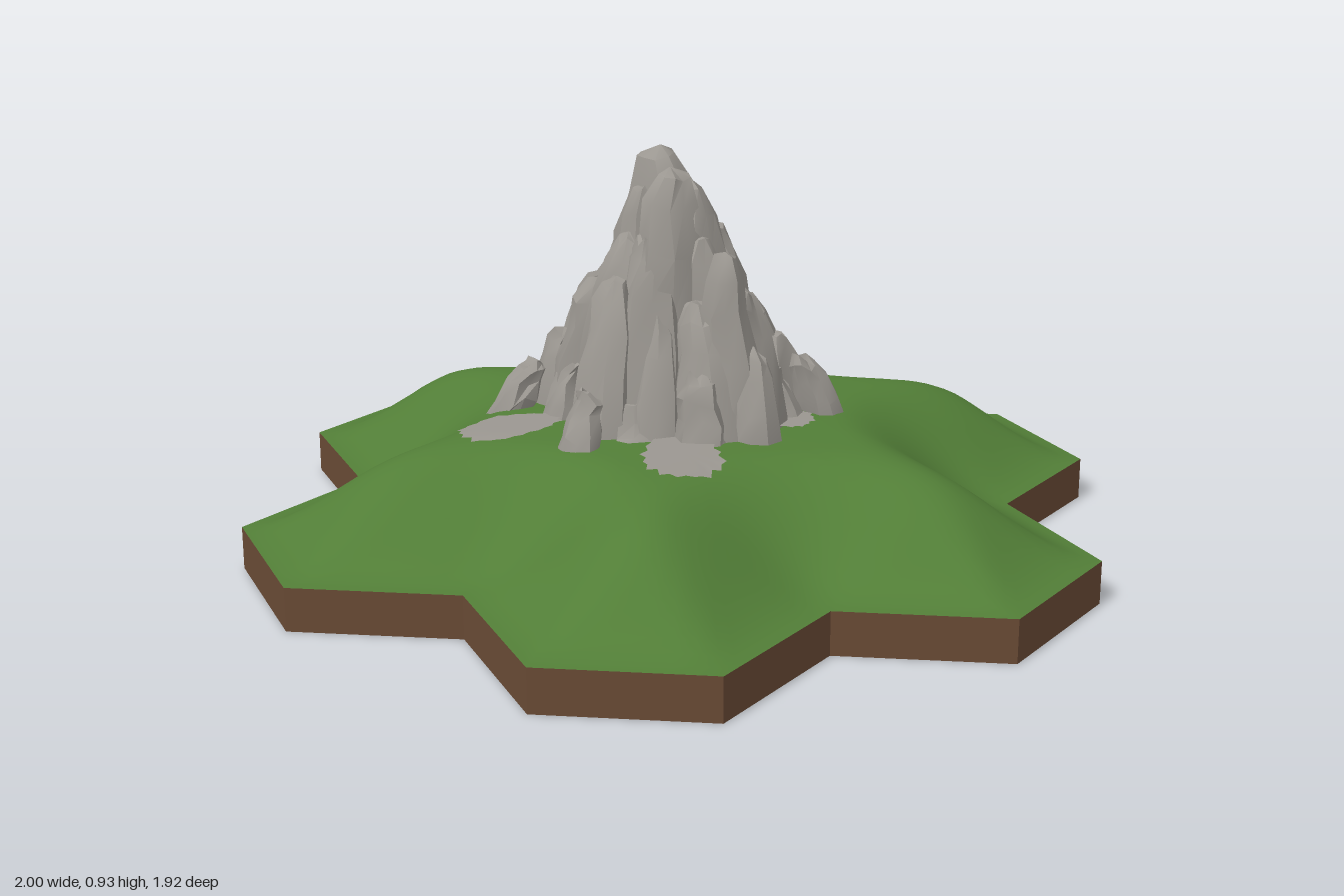
import * as THREE from 'three';
import { toCreasedNormals } from 'three/addons/utils/BufferGeometryUtils.js';

const grass = new THREE.MeshStandardMaterial({ color: 0x527e37, side: THREE.DoubleSide });
grass.name = 'grass green';
const earth = new THREE.MeshStandardMaterial({ color: 0x694a35, side: THREE.DoubleSide });
earth.name = 'earth brown';
const stone = new THREE.MeshStandardMaterial({ color: 0x9a9690, side: THREE.DoubleSide });
stone.name = 'stone grey';

// Seeded random numbers
let seed = 11;
const rand = () => {
  seed = (seed * 16807) % 2147483647;
  return seed / 2147483647;
};
const vary = (amount) => (rand() * 2 - 1) * amount;

// Skin over closed loops of [x, y, z] points, ordered from bottom/outside to top/inside
function loft(rows) {
  const n = rows[0].length;
  const index = [];
  for (let i = 0; i < rows.length - 1; i++) {
    for (let j = 0; j < n; j++) {
      const k = (j + 1) % n;
      const a = i * n + j, b = i * n + k, c = a + n, d = b + n;
      index.push(a, c, b, b, c, d);
    }
  }
  const geo = new THREE.BufferGeometry();
  geo.setAttribute('position', new THREE.Float32BufferAttribute(rows.flat(2), 3));
  geo.setIndex(index);
  geo.computeVertexNormals();
  return geo;
}

function addMesh(parent, name, geo, material) {
  const mesh = new THREE.Mesh(geo, material);
  mesh.name = name;
  parent.add(mesh);
  return mesh;
}

// Outline of six hexagons around a central one
const outline = [];
for (let k = 0; k < 6; k++) {
  const a = (k * Math.PI) / 3, c = Math.cos(a), s = Math.sin(a);
  for (const [x, z] of [[0.6667, -0.3849], [1, -0.1925], [1, 0.1925]]) {
    outline.push([x * c - z * s, x * s + z * c]);
  }
}

// Ground height: an S-curve of the softened distance to the outline
function groundHeight(x, z) {
  let sum = 0;
  outline.forEach(([ax, az], i) => {
    const [bx, bz] = outline[(i + 1) % outline.length];
    const ex = bx - ax, ez = bz - az;
    const t = THREE.MathUtils.clamp(((x - ax) * ex + (z - az) * ez) / (ex * ex + ez * ez), 0, 1);
    const d = Math.hypot(x - ax - ex * t, z - az - ez * t);
    sum += Math.pow(Math.max(d, 1e-4), -9);
  });
  const dist = Math.pow(sum, -1 / 9);
  return 0.1 + 0.205 * THREE.MathUtils.smoothstep(dist, 0, 0.37)
    + 0.02 * Math.exp(-(x * x + z * z) / 0.15) * Math.min(1, dist * 5);
}

// A leaning, tapering shard of rock with a grooved, blunt top
const shardProfile = [[0, 0], [0, 0.9], [0.25, 1.05], [0.5, 0.95], [0.72, 0.78], [0.88, 0.6], [0.97, 0.36], [1, 0]];
function shard(top, base, width) {
  const sides = 9;
  const groove = Array.from({ length: sides }, () => 1 + vary(0.2));
  const turn = rand() * 6;
  const rows = shardProfile.map(([t, r]) => {
    const cx = THREE.MathUtils.lerp(base[0], top[0], t) + vary(0.008);
    const cz = THREE.MathUtils.lerp(base[2], top[2], t) + vary(0.008);
    const cy = THREE.MathUtils.lerp(base[1], top[1], t);
    return groove.map((g, j) => {
      const a = turn + (j / sides) * Math.PI * 2;
      const radius = r * width * g * (1 + vary(0.12));
      const lift = r > 0 && t > 0 ? vary(0.012) : 0;
      return [cx + Math.cos(a) * radius, cy + lift, cz + Math.sin(a) * radius];
    });
  });
  return toCreasedNormals(loft(rows), 0.6);
}

// A ragged patch of stone draped just over (or under) the ground
function patch(x, z, length, width, offset) {
  const n = 36;
  const a = Math.atan2(z, x + 0.03), c = Math.cos(a), s = Math.sin(a);
  const jag = Array.from({ length: n }, (_, j) => 1 + vary(0.06) + (j % 2 ? 0.05 : -0.05));
  const rows = [1, 0.75, 0.5, 0.25, 0].map((f) => jag.map((g, j) => {
    const t = (j / n) * Math.PI * 2;
    const u = Math.cos(t) * length * f * g;
    const v = Math.sin(t) * width * f * g * (1 + 0.25 * Math.cos(t));
    const px = x + u * c - v * s, pz = z + u * s + v * c;
    return [px, groundHeight(px, pz) + offset, pz];
  }));
  return loft(rows);
}

export function createModel() {
  seed = 11;
  const model = new THREE.Group();
  model.name = 'hexagonMountainTile';

  // Earth rim
  const rim = [0, 0.1].map((y) => outline.map(([x, z]) => [x, y, z]));
  addMesh(model, 'earthRim', toCreasedNormals(loft(rim), 0.3), earth);

  // Grassy mound: the outline, subdivided and shrunk towards the centre
  const edge = outline.flatMap(([x, z], i) => {
    const [bx, bz] = outline[(i + 1) % outline.length];
    return Array.from({ length: 8 }, (_, k) => [x + ((bx - x) * k) / 8, z + ((bz - z) * k) / 8]);
  });
  const rings = 32;
  const mound = [];
  for (let i = 0; i <= rings; i++) {
    const f = 1 - i / rings;
    mound.push(edge.map(([x, z]) => [x * f, i ? groundHeight(x * f, z * f) : 0.1, z * f]));
  }
  addMesh(model, 'grassMound', loft(mound), grass);

  // Mountain: a peak with rings of shards stepping down around it
  const mountain = new THREE.Group();
  mountain.name = 'mountain';
  model.add(mountain);
  const addRock = (name, top, base, width) => addMesh(mountain, name, shard(top, base, width), stone);
  addRock('peakRock', [-0.055, 0.93, 0], [-0.04, 0.24, 0], 0.12);
  const tiers = [
    { n: 6, rTop: 0.06, yTop: 0.86, rBase: 0.13, width: 0.085 },
    { n: 8, rTop: 0.12, yTop: 0.73, rBase: 0.2, width: 0.08 },
    { n: 11, rTop: 0.18, yTop: 0.59, rBase: 0.25, width: 0.07 },
    { n: 13, rTop: 0.24, yTop: 0.45, rBase: 0.29, width: 0.055 },
  ];
  tiers.forEach(({ n, rTop, yTop, rBase, width }, tier) => {
    for (let i = 0; i < n; i++) {
      const a = ((i + 0.5 * tier + vary(0.2)) / n) * Math.PI * 2;
      const c = Math.cos(a), s = Math.sin(a) * 0.95;
      const r = rTop + vary(0.015);
      addRock('tierRock', [-0.03 + c * r, yTop + vary(0.045), s * r],
        [-0.02 + c * rBase, 0.24, s * rBase], width * (1 + vary(0.15)));
    }
  });

  // Single rocks standing out: top x, y, z, then base x, z and width
  const outliers = [
    [0.18, 0.73, 0.08, 0.23, 0.08, 0.065],
    [-0.04, 0.66, 0.18, -0.03, 0.27, 0.065],
    [0.24, 0.52, 0.07, 0.29, 0.09, 0.06],
    [-0.23, 0.45, -0.22, -0.32, -0.32, 0.045],
    [0.05, 0.46, -0.25, 0.08, -0.31, 0.045],
    [0.24, 0.45, -0.14, 0.3, -0.18, 0.045],
    [-0.28, 0.42, 0.18, -0.36, 0.24, 0.045],
    [-0.02, 0.43, 0.32, -0.02, 0.38, 0.045],
  ];
  for (const [x, y, z, bx, bz, width] of outliers) {
    addRock('outlyingRock', [x, y, z], [bx, 0.24, bz], width);
  }

  // Stone patches at the foot: centre x, z, half length and half width
  const patches = [
    [-0.1, -0.3, 0.12, 0.06], [-0.38, -0.06, 0.11, 0.07], [-0.22, 0.35, 0.12, 0.075],
    [0.21, 0.28, 0.13, 0.085], [0.25, -0.05, 0.08, 0.06], [0.15, -0.24, 0.09, 0.055],
  ];
  for (const [x, z, length, width] of patches) {
    for (const offset of [0.007, -0.007]) {
      addMesh(model, 'stonePatch', patch(x, z, length, width, offset), stone);
    }
  }
  return model;
}
